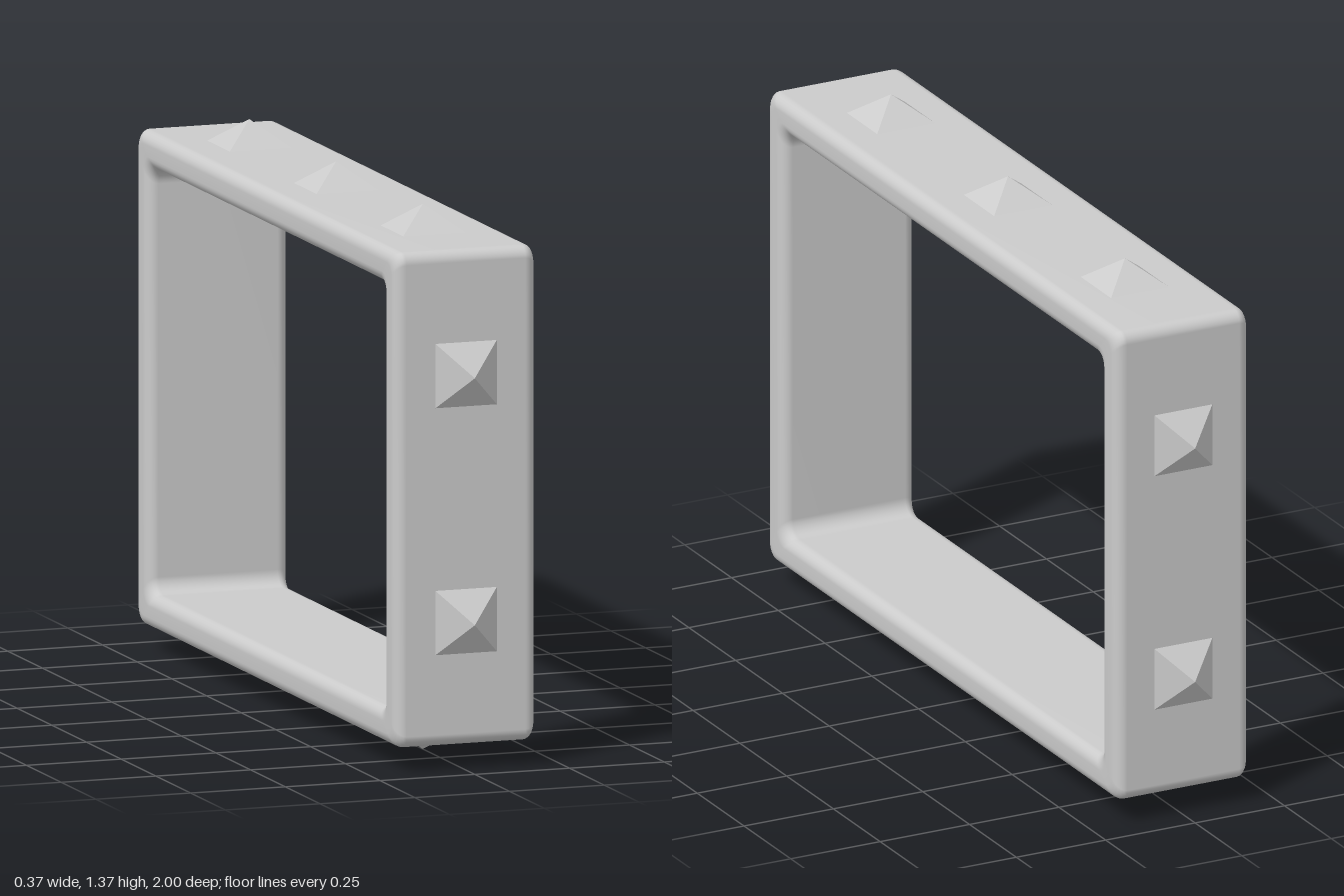
import * as THREE from 'three';

const CY = 0.6885, HY = 0.6235, HZ = 0.9375, HX = 0.187; // frame centre height and half sizes
const THICK = 0.088, EDGE = 0.03;
const SPIKE_H = 0.063, SPIKE_HALF = 0.081;

// Counter-clockwise outline of a rounded rectangle, given half sizes
function roundedRect(hw, hh, r, steps) {
  const pts = [];
  for (let c = 0; c < 4; c++) {
    const sx = c === 0 || c === 3 ? 1 : -1, sy = c < 2 ? 1 : -1;
    for (let k = 0; k <= steps; k++) {
      const a = (c + k / steps) * Math.PI / 2;
      pts.push([sx * (hw - r) + r * Math.cos(a), sy * (hh - r) + r * Math.sin(a)]);
    }
  }
  return pts;
}

// Rounded bar section carried around a rounded rectangular loop
function frameGeometry() {
  const section = roundedRect(THICK / 2, HX, EDGE, 6);
  const rings = section.map(([d, x]) => {
    const inset = THICK / 2 - d;
    const r = 0.03 + 0.01 * inset / THICK;
    return roundedRect(HZ - inset, HY - inset, r, 6).map(([z, y]) => [x, CY + y, z]);
  });
  const m = section.length, n = rings[0].length, index = [];
  for (let j = 0; j < m; j++) {
    for (let i = 0; i < n; i++) {
      const j2 = (j + 1) % m, i2 = (i + 1) % n;
      const a = j * n + i, b = j2 * n + i, c = j2 * n + i2, d = j * n + i2;
      index.push(a, b, d, b, c, d);
    }
  }
  const geo = new THREE.BufferGeometry();
  geo.setAttribute('position', new THREE.Float32BufferAttribute(rings.flat(2), 3));
  geo.setIndex(index);
  geo.computeVertexNormals();
  return geo;
}

export function createModel() {
  const model = new THREE.Group();
  model.name = 'spikedFrame';

  const frame = new THREE.Mesh(frameGeometry(), new THREE.MeshStandardMaterial({ color: 0xcccccc }));
  frame.name = 'frame';
  model.add(frame);

  // Four-sided pyramid studs with their base on the frame surface
  const studGeo = new THREE.ConeGeometry(SPIKE_HALF * Math.SQRT2, SPIKE_H, 4);
  studGeo.rotateY(Math.PI / 4).translate(0, SPIKE_H / 2, 0);
  const studMat = new THREE.MeshStandardMaterial({ color: 0xcccccc, flatShading: true });
  function addStud(name, y, z, tilt) {
    const stud = new THREE.Mesh(studGeo, studMat);
    stud.name = name;
    stud.position.set(0, y, z);
    stud.rotation.x = tilt;
    model.add(stud);
  }
  for (const z of [-0.625, 0, 0.625]) {
    addStud('topStud', CY + HY, z, 0);
    addStud('bottomStud', CY - HY, z, Math.PI);
  }
  for (const y of [CY - 0.311, CY + 0.311]) {
    addStud('frontStud', y, HZ, Math.PI / 2);
    addStud('backStud', y, -HZ, -Math.PI / 2);
  }
  return model;
}
